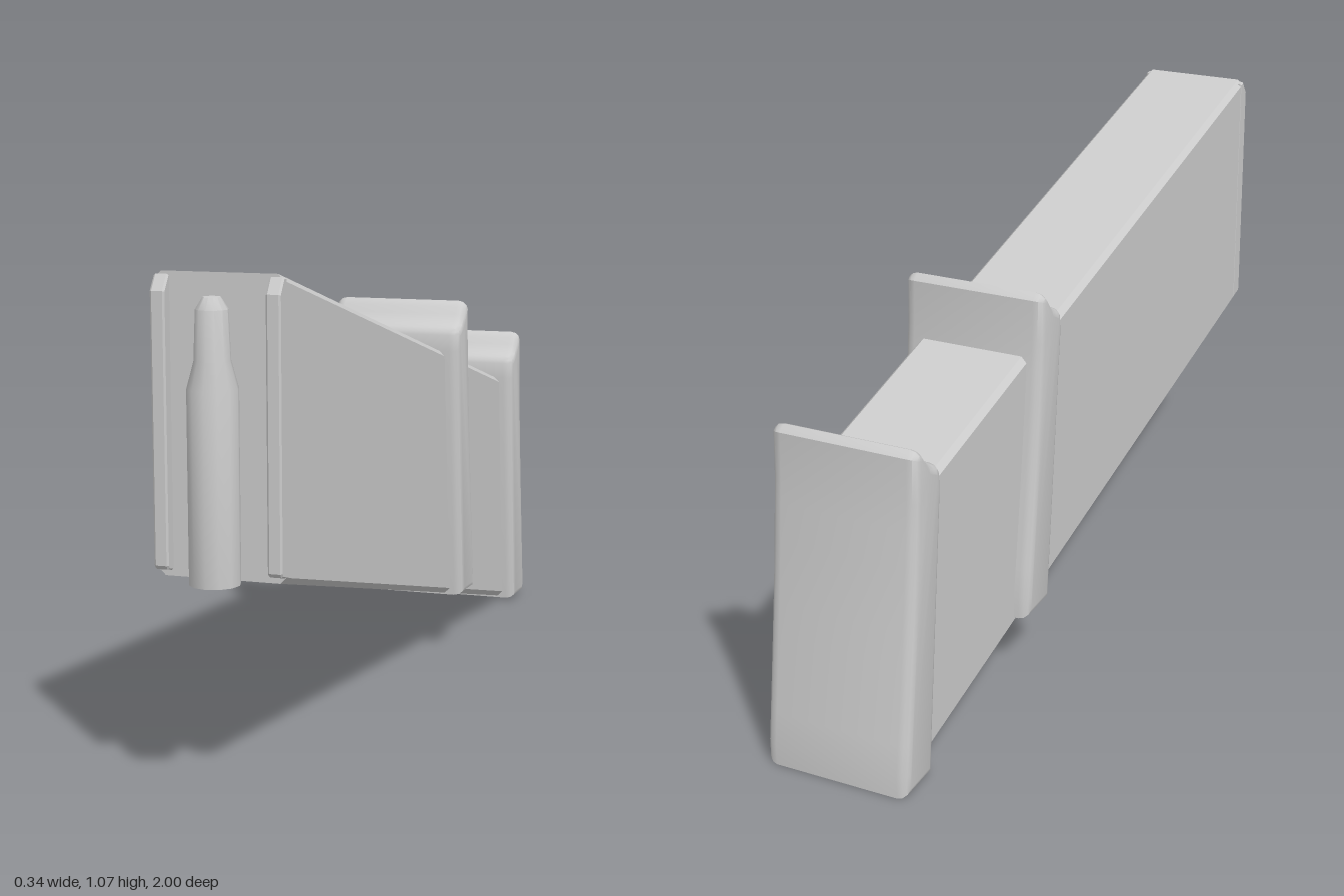
import * as THREE from 'three';
import { toCreasedNormals } from 'three/addons/utils/BufferGeometryUtils.js';

const material = new THREE.MeshStandardMaterial({ color: 0xcccccc });
const toShape = (pts) => new THREE.Shape(pts.map(([a, b]) => new THREE.Vector2(a, b)));

function addMesh(group, name, geometry, crease = 0.6) {
  const mesh = new THREE.Mesh(toCreasedNormals(geometry, crease), material);
  mesh.name = name;
  group.add(mesh);
  return mesh;
}

// Extrudes a side profile of [z, y] points across x, centred, with rounded edges.
function sideExtrude(pts, width, bevel, segments) {
  const geometry = new THREE.ExtrudeGeometry(toShape(pts), {
    depth: width - 2 * bevel, bevelEnabled: true, bevelThickness: bevel,
    bevelSize: bevel * 0.8, bevelOffset: -bevel * 0.8, bevelSegments: segments,
  });
  geometry.translate(0, 0, -width / 2 + bevel);
  return geometry.rotateY(-Math.PI / 2);
}

// Long chamfered box, sheared so that it falls towards the back.
function bodyGeometry() {
  const w = 0.135, c = 0.013, y0 = 0.465, y1 = 1.078, front = 0.908, back = -0.92, slope = 0.251;
  const geometry = new THREE.ExtrudeGeometry(toShape([
    [-w + c, y0], [w - c, y0], [w, y0 + c], [w, y1 - c],
    [w - c, y1], [-w + c, y1], [-w, y1 - c], [-w, y0 + c],
  ]), { depth: front - back, bevelEnabled: false });
  geometry.translate(0, 0, back);
  const p = geometry.attributes.position;
  for (let i = 0; i < p.count; i++) p.setY(i, p.getY(i) + (p.getZ(i) - front) * slope);
  return geometry;
}

// Collar side profile: a leaning band with a stepped crest and a flared foot.
function collarGeometry() {
  const crest = new THREE.SplineCurve([
    [-0.258, 0.825], [-0.268, 0.842], [-0.298, 0.855], [-0.325, 0.888], [-0.345, 0.902], [-0.362, 0.888],
  ].map(([z, y]) => new THREE.Vector2(z, y))).getPoints(10);
  const rear = new THREE.SplineCurve([
    [-0.366, 0.79], [-0.385, 0.6], [-0.408, 0.42], [-0.438, 0.2],
  ].map(([z, y]) => new THREE.Vector2(z, y))).getPoints(8);
  const pts = [[-0.438, 0.147], [-0.323, 0.152], [-0.256, 0.785]]
    .concat(crest.map((v) => [v.x, v.y]), rear.map((v) => [v.x, v.y]));
  return sideExtrude(pts, 0.34, 0.024, 3);
}

export function createModel() {
  const model = new THREE.Group();
  model.name = 'slantedMagazine';

  addMesh(model, 'body', bodyGeometry(), 0.3);

  // Middle collar, and the same form closing the back end
  addMesh(model, 'middleCollar', collarGeometry());
  addMesh(model, 'endPlate', collarGeometry()).position.set(0, -0.142, -0.562);

  // Feed lips along both edges of the front face
  for (const side of [1, -1]) {
    const lip = addMesh(model, side > 0 ? 'leftLip' : 'rightLip', sideExtrude([
      [0.895, 0.474], [0.93, 0.482], [0.935, 0.49], [0.935, 1.04], [0.912, 1.072], [0.895, 1.07],
    ], 0.031, 0.004, 1), 0.3);
    lip.position.x = side * 0.1205;
  }

  // Round standing in front of the face
  const round = new THREE.LatheGeometry([
    [0, 0.465], [0.052, 0.465], [0.052, 0.855], [0.037, 0.91], [0.033, 1.01], [0.018, 1.034], [0, 1.036],
  ].map(([r, y]) => new THREE.Vector2(r, y)), 12);
  addMesh(model, 'round', round).position.z = 0.948;

  return model;
}
